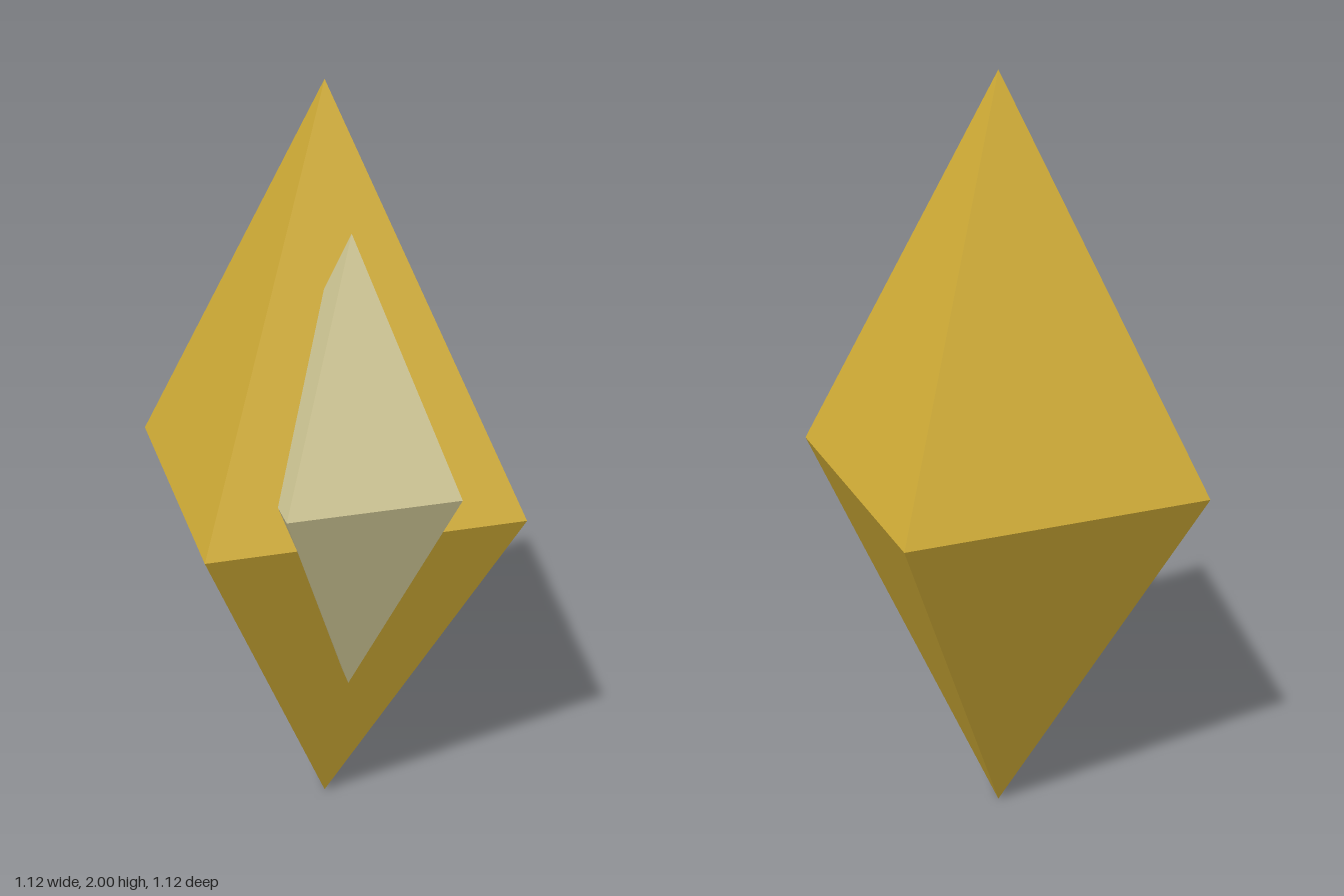
import * as THREE from 'three';

export function createModel() {
  const model = new THREE.Group();
  const gold = new THREE.MeshStandardMaterial({ color: 0xd4af37 });
  gold.name = 'gold';
  const paleGold = new THREE.MeshStandardMaterial({ color: 0xd4cb98 });
  paleGold.name = 'paleGold';

  // Stretched octahedron with sharp facets
  function crystal(name, material, radius, halfHeight, position) {
    const geometry = new THREE.OctahedronGeometry(1, 0);
    geometry.scale(radius, halfHeight, radius);
    geometry.computeVertexNormals();
    const mesh = new THREE.Mesh(geometry, material);
    mesh.name = name;
    mesh.position.set(...position);
    model.add(mesh);
  }

  // Main body
  crystal('crystalBody', gold, 0.56, 1, [0, 1, 0]);
  // Smaller pale crystal poking through the front left facets
  crystal('highlightCrystal', paleGold, 0.3, 0.6, [0.16, 1.1, 0.16]);

  return model;
}
